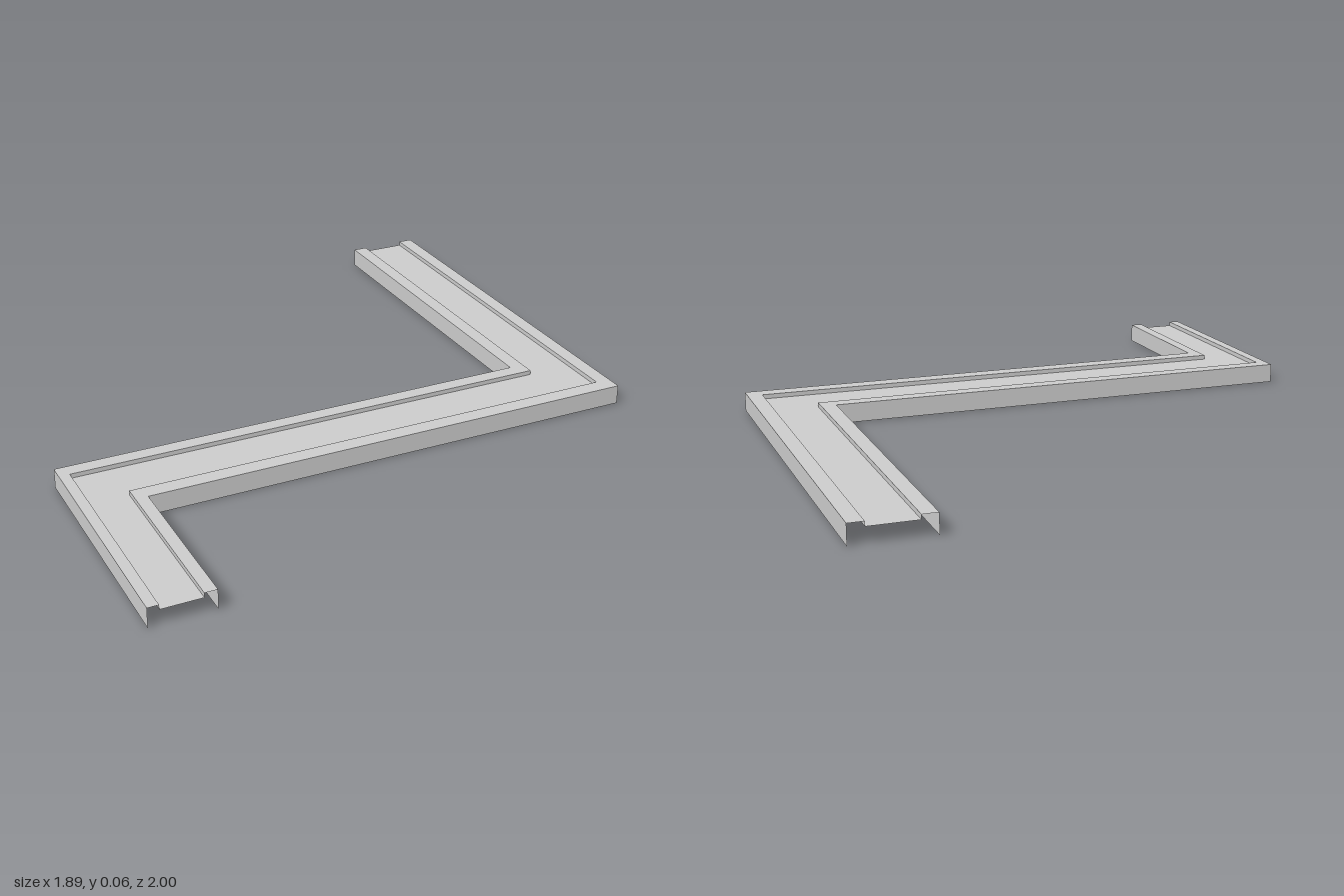
import * as THREE from 'three';

const TOP = 0.065, FLOOR = 0.05;

// Plan lines [x, z] of the zigzag, each running from the back end to the front end
const zigzag = (xBack, zCross, xFront) => [[xBack, -1], [xBack, zCross], [xFront, zCross], [xFront, 1]];
const outerRight = zigzag(0.69, 0.185, -0.945);
const innerRight = zigzag(0.74, 0.235, -0.91);
const innerLeft = zigzag(0.895, 0.405, -0.78);
const outerLeft = zigzag(0.945, 0.46, -0.74);

// Strip of flat quads between two plan lines at given heights
function strip(name, lineA, yA, lineB, yB, material) {
  const positions = [];
  const add = (line, y, i) => positions.push(line[i][0], y, line[i][1]);
  for (let i = 0; i < lineA.length - 1; i++) {
    add(lineA, yA, i); add(lineA, yA, i + 1); add(lineB, yB, i);
    add(lineB, yB, i); add(lineA, yA, i + 1); add(lineB, yB, i + 1);
  }
  const geometry = new THREE.BufferGeometry();
  geometry.setAttribute('position', new THREE.Float32BufferAttribute(positions, 3));
  geometry.computeVertexNormals();
  const mesh = new THREE.Mesh(geometry, material);
  mesh.name = name;
  return mesh;
}

export function createModel() {
  const group = new THREE.Group();
  group.name = 'zigzagPath';
  const material = new THREE.MeshStandardMaterial({ color: 0xcccccc, flatShading: true, side: THREE.DoubleSide });

  // Open sheet across the path: wall, rim, step, floor, step, rim, wall
  group.add(
    strip('rightWall', outerRight, 0, outerRight, TOP, material),
    strip('rightRim', outerRight, TOP, innerRight, TOP, material),
    strip('rightStep', innerRight, TOP, innerRight, FLOOR, material),
    strip('floor', innerRight, FLOOR, innerLeft, FLOOR, material),
    strip('leftStep', innerLeft, FLOOR, innerLeft, TOP, material),
    strip('leftRim', innerLeft, TOP, outerLeft, TOP, material),
    strip('leftWall', outerLeft, TOP, outerLeft, 0, material),
  );
  return group;
}
